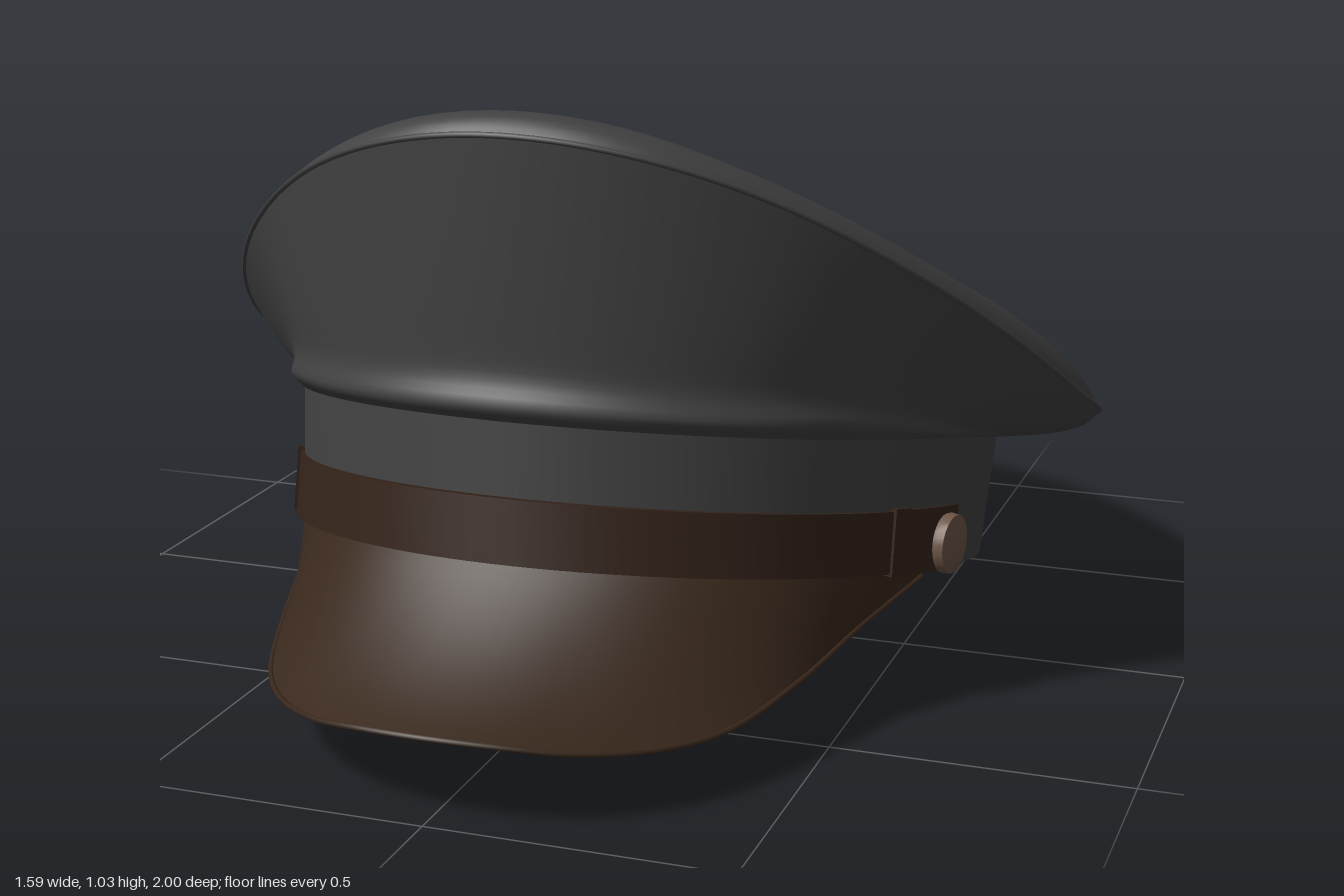
import * as THREE from 'three';
import { mergeVertices, toCreasedNormals } from 'three/addons/utils/BufferGeometryUtils.js';

const mat = (name, color) => {
  const m = new THREE.MeshStandardMaterial({ color, side: THREE.DoubleSide });
  m.name = name;
  return m;
};

// Smooth surface from a rule fn(u, v) -> [x, y, z], u and v in 0..1
function loft(nu, nv, fn) {
  const pos = [], idx = [];
  for (let j = 0; j <= nv; j++)
    for (let i = 0; i <= nu; i++) pos.push(...fn(i / nu, j / nv));
  for (let j = 0; j < nv; j++)
    for (let i = 0; i < nu; i++) {
      const a = j * (nu + 1) + i, b = a + nu + 1;
      idx.push(a, a + 1, b, a + 1, b + 1, b);
    }
  let g = new THREE.BufferGeometry();
  g.setAttribute('position', new THREE.Float32BufferAttribute(pos, 3));
  g.setIndex(idx);
  g = mergeVertices(g, 1e-5);
  g.computeVertexNormals();
  return g;
}

// Smooth height curve through [z, y] points
function heights(pts) {
  const c = new THREE.CubicInterpolant(pts.map(p => p[0]), pts.map(p => p[1]), 1);
  return z => c.evaluate(THREE.MathUtils.clamp(z, pts[0][0], pts[pts.length - 1][0]))[0];
}
const seamY = heights([[-1, 0.275], [-0.93, 0.277], [-0.56, 0.31], [-0.29, 0.39], [-0.07, 0.48],
  [0.14, 0.61], [0.35, 0.765], [0.55, 0.925], [0.655, 1.005]]);
const ridgeY = heights([[-1, 0.275], [-0.96, 0.335], [-0.77, 0.46], [-0.56, 0.58], [-0.29, 0.715],
  [0, 0.803], [0.25, 0.89], [0.46, 0.983], [0.58, 1.032], [0.63, 1.028], [0.655, 1.005]]);

// Plan outline of the crown, egg-shaped and narrower at the front
const ZC = -0.18, FRONT = 0.835, BACK = 0.82, HALF = 0.79;
const egg = c => (c > 0 ? 1 - 0.1 * c * c : 1);
function rim(t) {
  const c = Math.cos(t), z = ZC + c * (c > 0 ? FRONT : BACK);
  return [HALF * Math.sin(t) * egg(c), seamY(z), z];
}
function halfWidth(z) {
  const c = (z - ZC) / (z > ZC ? FRONT : BACK);
  return HALF * Math.sqrt(Math.max(0, 1 - c * c)) * egg(c);
}

// Tilted elliptical head band
const TILT = 0.215, LONG = 1.22, HEIGHT = 0.23, ORIGIN = new THREE.Vector3(0, 0.16, -0.043);
function bandPoint(t, y, r) {
  const z = r * LONG * Math.cos(t), s = Math.sin(TILT), c = Math.cos(TILT);
  return [r * Math.sin(t), ORIGIN.y + y * c + z * s, ORIGIN.z + z * c - y * s];
}

// Solid strip wrapped on the band from angle t0 to t1, standing further off at the front
function strip(t0, t1, y0, y1, r0, r1) {
  const corners = [[y0, r0], [y0, r1], [y1, r1], [y1, r0], [y0, r0]];
  const n = 48;
  const g = loft(n + 2, 4, (u, v) => {
    const i = Math.round(u * (n + 2));
    const t = t0 + (t1 - t0) * THREE.MathUtils.clamp((i - 1) / n, 0, 1);
    const end = i === 0 || i === n + 2;
    const [y, r] = end ? [(y0 + y1) / 2, (r0 + r1) / 2] : corners[Math.round(v * 4)];
    return bandPoint(t, y, r > r0 ? r + 0.019 * Math.cos(t) ** 2 : r);
  });
  return toCreasedNormals(g, 0.6);
}

export function createModel() {
  const cap = new THREE.Group();
  cap.name = 'peakedCap';
  const cloth = mat('greyCloth', 0x414141);
  const leather = mat('brownLeather', 0x39281c), strapMat = mat('darkStrapLeather', 0x34231a);
  const metal = mat('bronzeButton', 0x6b5547);
  const add = (name, geo, m) => {
    const mesh = new THREE.Mesh(geo, m);
    mesh.name = name;
    cap.add(mesh);
    return mesh;
  };
  const TAU = Math.PI * 2;

  // Crown top: saddle that sweeps down from the tall front, padded along the rim
  add('crownTop', loft(96, 30, (u, v) => {
    const e = rim(u * TAU), r = Math.sin(v * Math.PI / 2);
    const x = e[0] * r, z = ZC + (e[2] - ZC) * r;
    if (v === 1) return e;
    const w = halfWidth(z), h = w > 1e-4 ? Math.max(0, 1 - (x / w) ** 2) : 0;
    const rise = ridgeY(z) - seamY(z), pad = Math.min(rise, 0.025 * (1 - r ** 16));
    return [x, seamY(z) + pad + (rise - pad) * h ** 0.82, z];
  }), cloth);

  // Crown side: overhangs the band, tucked under the front corners and full above the band
  add('crownSide', loft(96, 24, (u, v) => {
    const t = u * TAU, a = rim(t), b = bandPoint(t, HEIGHT, 0.62);
    const dent = Math.exp(-(((Math.acos(Math.cos(t)) - 1.05) / 0.36) ** 2));
    const k = 0.15 + 0.75 * dent, ky = 0.75 - 0.25 * dent;
    const m = [a[0] + (b[0] - a[0]) * k, a[1] + (b[1] - a[1]) * ky - 0.045, a[2] + (b[2] - a[2]) * k];
    const w = 1 - v, p = a.map((q, i) => w * w * q + 2 * w * v * m[i] + v * v * b[i]);
    const full = 0.025 * Math.max(0, Math.cos(t)) ** 0.5 * Math.exp(-(((v - 0.86) / 0.12) ** 2));
    return [p[0] + full * Math.sin(t), p[1], p[2] + full * Math.cos(t)];
  }), cloth);

  // Seam piping round the crown
  const seam = [];
  for (let i = 0; i < 64; i++) seam.push(new THREE.Vector3(...rim(i / 64 * TAU)));
  add('crownPiping', new THREE.TubeGeometry(new THREE.CatmullRomCurve3(seam, true), 192, 0.005, 6, true), cloth);

  // Head band, leather lining and its edges
  add('headBand', loft(96, 1, (u, v) => bandPoint(u * TAU, v * HEIGHT, 0.605 + 0.015 * v)), cloth);
  add('bandLining', loft(96, 1, (u, v) => bandPoint(u * TAU, v * 0.215, 0.592 + 0.012 * v)), leather);
  add('bandBottomEdge', loft(96, 1, (u, v) => bandPoint(u * TAU, 0, 0.592 + 0.013 * v)), strapMat);
  add('liningTopEdge', loft(96, 1, (u, v) => bandPoint(u * TAU, 0.215, 0.604 + 0.014 * v)), leather);

  // Visor: spans from the band to a drooping, rounded edge
  const half = [[0.11, 0.138, 0.978], [0.21, 0.121, 0.93], [0.314, 0.105, 0.838], [0.393, 0.101, 0.72],
    [0.458, 0.125, 0.54], [0.512, 0.163, 0.35], [0.573, 0.203, 0.19]];
  const edge = new THREE.CatmullRomCurve3([
    ...half.slice().reverse().map(([x, y, z]) => new THREE.Vector3(-x, y, z)),
    new THREE.Vector3(0, 0.144, 0.995),
    ...half.map(p => new THREE.Vector3(...p)),
  ]);
  add('visor', loft(64, 12, (u, v) => {
    const a = bandPoint((u * 2 - 1) * 1.27, 0.005, 0.607), b = edge.getPointAt(u).toArray();
    const p = a.map((q, i) => q + (b[i] - q) * v);
    p[1] -= 0.1 * v * (1 - v) * Math.sin(u * Math.PI);
    return p;
  }), leather);
  add('visorEdge', new THREE.TubeGeometry(edge, 96, 0.005, 6), leather);

  // Chin strap with a slide and a button at each end
  add('chinStrap', strip(-1.36, 1.36, 0.003, 0.108, 0.6, 0.614), strapMat);
  for (const s of [-1, 1]) {
    const side = s > 0 ? 'left' : 'right';
    add(side + 'StrapSlide', strip(s * 1.08, s * 1.14, -0.001, 0.113, 0.6, 0.62), strapMat);
    add(side + 'StrapEnd', strip(s * 1.14, s * 1.39, 0.001, 0.11, 0.6, 0.616), strapMat);
    const button = add(side + 'Button', toCreasedNormals(new THREE.LatheGeometry([
      [0, -0.02], [0.048, -0.02], [0.053, -0.008], [0.051, 0.006], [0.03, 0.012], [0, 0.014],
    ].map(p => new THREE.Vector2(...p)), 28), 0.7), metal);
    button.position.set(s * 0.61, 0.245, 0.13);
    button.rotation.set(0, -s * 0.2, -s * Math.PI / 2);
  }
  return cap;
}
